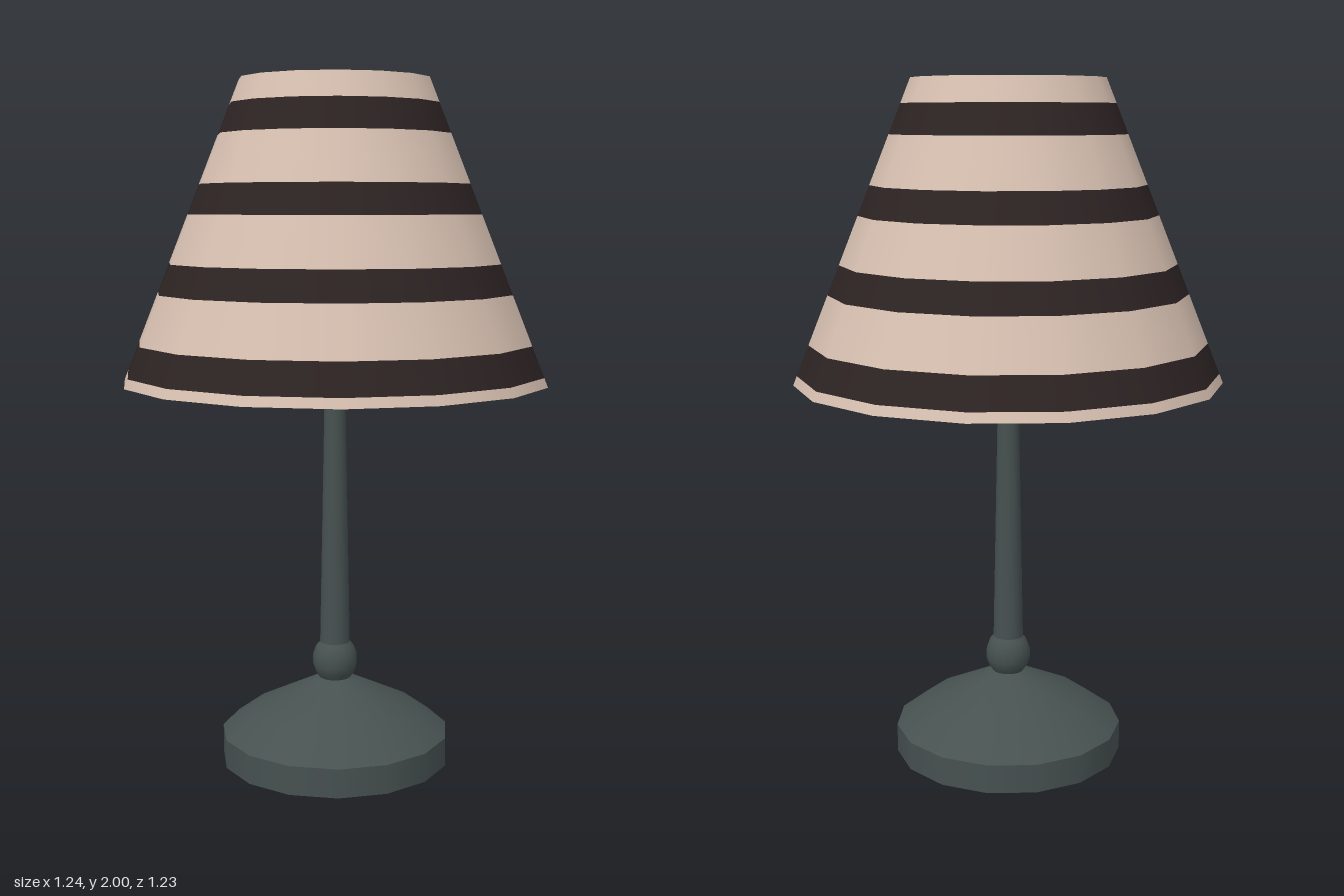
import * as THREE from 'three';

const SIDES = 15;

const metal = new THREE.MeshStandardMaterial({ name: 'dark grey green metal', color: 0x465150 });
const cream = new THREE.MeshStandardMaterial({ name: 'cream fabric', color: 0xd6bfb0 });
const stripe = new THREE.MeshStandardMaterial({ name: 'dark brown stripe', color: 0x2d2323 });

// Surface of revolution; a profile running upwards faces outwards
function lathe(name, profile, material, sides = SIDES) {
  const points = profile.map(([r, y]) => new THREE.Vector2(r, y));
  const mesh = new THREE.Mesh(new THREE.LatheGeometry(points, sides, Math.PI), material);
  mesh.name = name;
  return mesh;
}

// Conical shade, cut into plain and striped rings, with an inner lining
function createShade() {
  const shade = new THREE.Group();
  shade.name = 'lampShade';
  const bottom = 1.14, top = 2, thickness = 0.012;
  const radius = (y) => THREE.MathUtils.lerp(0.622, 0.275, (y - bottom) / (top - bottom));
  const cuts = [bottom, 1.167, 1.255, 1.397, 1.482, 1.62, 1.705, 1.845, 1.93, top];
  for (let i = 0; i < cuts.length - 1; i++) {
    const a = cuts[i], b = cuts[i + 1];
    const material = i % 2 ? stripe : cream;
    const label = i % 2 ? 'Stripe' : 'Fabric';
    shade.add(lathe('outer' + label, [[radius(a), a], [radius(b), b]], material));
    shade.add(lathe('inner' + label,
      [[radius(b) - thickness, b], [radius(a) - thickness, a]], material));
  }
  // Flat rims joining the outside and the lining
  shade.add(lathe('topRim', [[radius(top), top], [radius(top) - thickness, top]], cream));
  shade.add(lathe('bottomRim',
    [[radius(bottom) - thickness, bottom], [radius(bottom), bottom]], cream));
  return shade;
}

// Five thin rods carrying the shade
function createSpokes() {
  const spokes = new THREE.Group();
  spokes.name = 'shadeSpokes';
  const length = 0.595;
  const geometry = new THREE.CylinderGeometry(0.008, 0.008, length, 6);
  geometry.rotateZ(Math.PI / 2).translate(length / 2, 0, 0);
  for (let i = 0; i < 5; i++) {
    const spoke = new THREE.Mesh(geometry, metal);
    spoke.name = 'spoke';
    spoke.position.y = 1.16;
    spoke.rotation.y = THREE.MathUtils.degToRad(6 + i * 72);
    spokes.add(spoke);
  }
  return spokes;
}

export function createModel() {
  const lamp = new THREE.Group();
  lamp.name = 'tableLamp';

  // Weighted foot
  lamp.add(lathe('footUnderside', [[0, 0], [0.34, 0]], metal));
  lamp.add(lathe('footSide', [[0.34, 0], [0.34, 0.085]], metal));
  lamp.add(lathe('footTop', [[0.34, 0.085], [0.25, 0.15], [0.055, 0.245], [0, 0.25]], metal));

  // Knob and tapering stem
  lamp.add(lathe('stemKnob', [
    [0.042, 0.24], [0.058, 0.262], [0.066, 0.285], [0.066, 0.315], [0.056, 0.342], [0.04, 0.36],
  ], metal));
  lamp.add(lathe('stem', [[0.045, 0.34], [0.03, 1.14], [0.026, 1.55]], metal));

  // Bulb on top of the stem
  lamp.add(lathe('bulb', [
    [0, 1.52], [0.035, 1.535], [0.06, 1.565], [0.07, 1.6], [0.06, 1.64], [0.035, 1.67], [0, 1.685],
  ], cream, 20));

  lamp.add(createSpokes(), createShade());
  return lamp;
}
